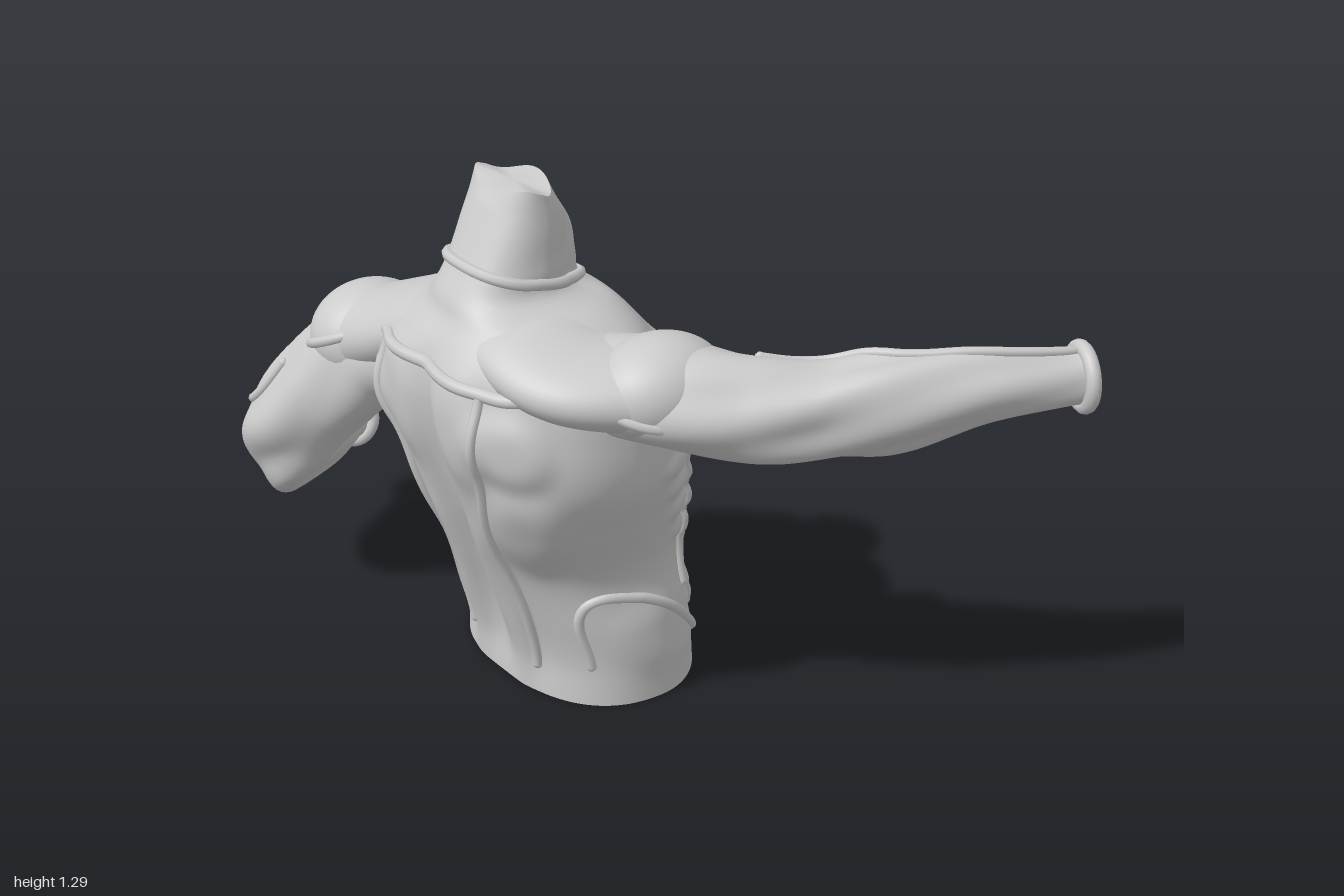
import * as THREE from 'three';

const material = new THREE.MeshStandardMaterial({ color: 0xcccccc });
const V = (x, y, z) => new THREE.Vector3(x, y, z);
const RAD = Math.PI / 180;

// Closed-ring surface surf(angle in degrees, v in 0..1), with flat end caps
function loft(surf, around, along) {
  const pos = [], index = [];
  const push = p => pos.push(p.x, p.y, p.z) / 3 - 1;
  for (let j = 0; j <= along; j++)
    for (let i = 0; i < around; i++) push(surf((360 * i) / around, j / along));
  for (let j = 0; j < along; j++)
    for (let i = 0; i < around; i++) {
      const n = (i + 1) % around, a = j * around + i, b = j * around + n;
      index.push(a, a + around, b, b, a + around, b + around);
    }
  for (const v of [0, 1]) {
    const ring = Array.from({ length: around }, (_, i) => surf((360 * i) / around, v));
    const mid = push(ring.reduce((s, p) => s.add(p), V(0, 0, 0)).divideScalar(around));
    const first = mid + 1;
    ring.forEach((_, i) => push(surf((360 * i) / around, v)));
    for (let i = 0; i < around; i++) {
      const a = first + i, b = first + (i + 1) % around;
      v ? index.push(mid, b, a) : index.push(mid, a, b);
    }
  }
  const g = new THREE.BufferGeometry();
  g.setAttribute('position', new THREE.Float32BufferAttribute(pos, 3));
  g.setIndex(index);
  g.computeVertexNormals();
  return g;
}

// Torso and neck sections: y, xMin, xMax, zMin (chest side), zMax (back side)
const SECTIONS = [
  [0, -.35, .29, -.145, .33], [.1, -.345, .29, -.135, .33], [.2, -.335, .285, -.115, .355],
  [.35, -.29, .275, -.105, .41], [.5, -.315, .325, -.1, .48], [.65, -.355, .385, -.07, .53],
  [.8, -.375, .39, -.03, .55], [.9, -.36, .37, .01, .545], [.95, -.29, .33, .04, .525],
  [1, -.21, .24, .09, .49], [1.04, -.155, .14, .155, .475], [1.1, -.14, .12, .17, .44],
  [1.2, -.14, .11, .18, .39], [1.28, -.13, .1, .22, .35],
];
const slope = (i, k) => {
  const a = SECTIONS[Math.max(i - 1, 0)], b = SECTIONS[Math.min(i + 1, SECTIONS.length - 1)];
  return (b[k] - a[k]) / (b[0] - a[0]);
};
function section(y) {
  let i = 0;
  while (i < SECTIONS.length - 2 && y > SECTIONS[i + 1][0]) i++;
  const A = SECTIONS[i], B = SECTIONS[i + 1], h = B[0] - A[0], t = (y - A[0]) / h;
  return [1, 2, 3, 4].map(k =>
    A[k] * (1 + 2 * t) * (1 - t) ** 2 + B[k] * t * t * (3 - 2 * t) +
    h * (slope(i, k) * t * (1 - t) ** 2 + slope(i + 1, k) * t * t * (t - 1)));
}

// Mirrored muscle relief: angle (-90 chest, 0 side, 90 back), y, angle size, y size, height
const MUSCLES = [
  ...[.17, .31, .42, .53].map(y => [-75, y, 14, .053, .033]),            // abdominals
  [-90, .35, 3, .25, -.014],                                             // belly midline
  [-66, .78, 22, .12, .045], [-72, .64, 14, .045, .02],                  // chest
  [-90, .78, 5, .16, -.015],                                             // breastbone groove
  ...[.64, .56, .48, .4].map((y, i) => [-32 - i * 4, y, 14, .028, .011]), // ribs
  [20, .6, 26, .2, .012], [50, .52, 20, .13, .02],                       // side of back
  [52, .76, 18, .09, .025], [76, .78, 13, .15, .022],                    // shoulder blades
  [77, .27, 10, .22, .022], [-15, .17, 35, .1, .01],                     // lower back, flank
  [90, .5, 6, .36, -.025],                                               // spine groove
  [-68, 1.1, 14, .1, .02],                                               // neck tendons
];
function torso(deg, y) {
  const [x0, x1, z0, z1] = section(y);
  const c = Math.cos(deg * RAD), s = Math.sin(deg * RAD);
  const power = s < 0 ? 1 : .84; // the chest side tapers more than the back
  const bend = q => Math.sign(q) * Math.abs(q) ** power;
  const folded = Math.atan2(s, Math.abs(c)) / RAD;
  let d = 0;
  for (const [a, my, sa, sy, h] of MUSCLES)
    d += h * Math.exp(-((((folded - a) / sa) ** 2 + ((y - my) / sy) ** 2) ** 2));
  const ragged = y > 1.24 ? (y - 1.24) * .3 * Math.sin(deg * RAD * 3) : 0;
  return V((x0 + x1) / 2 + (x1 - x0) / 2 * bend(c) + d * c, y + ragged,
    (z0 + z1) / 2 + (z1 - z0) / 2 * bend(s) + d * s);
}

// Limb surface from rows of x, y, z, horizontal radius, vertical radius; angle 0 is up
function limb(rows, relief) {
  const path = new THREE.CatmullRomCurve3(rows.map(r => V(r[0], r[1], r[2])), false, 'catmullrom');
  const radii = new THREE.CatmullRomCurve3(rows.map(r => V(r[3], r[4], 0)), false, 'catmullrom');
  return (deg, v) => {
    const t = path.getTangent(v), r = radii.getPoint(v), a = deg * RAD;
    const side = V(0, 1, 0).cross(t).normalize(), up = t.clone().cross(side);
    const fade = relief * Math.sin(Math.PI * v);
    const k = 1 + fade * (.06 * Math.sin(3 * a + 9 * v) + .055 * Math.sin(5 * a - 14 * v));
    return path.getPoint(v).addScaledVector(up, r.y * k * Math.cos(a))
      .addScaledVector(side, r.x * k * Math.sin(a));
  };
}

// Ellipsoid surface, angle around the vertical and v from bottom to top
const ellipsoid = (c, r) => (deg, v) => {
  const p = (v - .5) * Math.PI * .998, a = deg * RAD;
  return V(c[0] + r[0] * Math.cos(p) * Math.cos(a), c[1] + r[1] * Math.sin(p),
    c[2] + r[2] * Math.cos(p) * Math.sin(a));
};

export function createModel() {
  const model = new THREE.Group();
  const add = (name, geometry, parent = model) => {
    const mesh = new THREE.Mesh(geometry, material);
    mesh.name = name;
    parent.add(mesh);
    return mesh;
  };
  // Raised cord lying on a surface, with rounded ends
  const cord = (name, surf, points, r = .013) => {
    const flat = new THREE.CatmullRomCurve3(points.map(p => V(p[0], p[1] * 150, 0)));
    const n = 40;
    const pts = Array.from({ length: n + 1 }, (_, i) => {
      const p = flat.getPoint(i / n);
      return surf(p.x, p.y / 150);
    });
    add(name, new THREE.TubeGeometry(new THREE.CatmullRomCurve3(pts), 80, r, 8));
    for (const p of [pts[0], pts[n]])
      add(name + 'End', new THREE.SphereGeometry(r, 8, 6)).position.copy(p);
  };
  const ringCord = (name, surf, height, r) => {
    const pts = Array.from({ length: 32 }, (_, i) => surf(i * 11.25, height(i * 11.25 * RAD)));
    add(name, new THREE.TubeGeometry(new THREE.CatmullRomCurve3(pts, true), 96, r, 8, true));
  };

  add('torso', loft((a, v) => torso(a, v * 1.28), 144, 140));

  // Cords mirrored on both sides of the torso
  const paths = {
    backCord: [[63, .88], [66, .75], [69, .5], [67, .25], [69, .08]],
    hipCord: [[37, .11], [37, .23], [30, .28], [18, .3], [0, .28], [-18, .23], [-42, .11]],
    sideCord: [[-46, .63], [-47, .5], [-45, .35], [-41, .24]],
    bellyCord: [[-58, .6], [-57, .4], [-57, .25], [-62, .12]],
    chestCord: [[-20, .86], [-40, .76], [-58, .68], [-75, .65], [-87, .69]],
  };
  for (const [name, pts] of Object.entries(paths)) {
    cord(name + 'Left', torso, pts);
    cord(name + 'Right', torso, pts.map(([a, y]) => [180 - a, y]));
  }
  cord('yokeCord', torso, [[32, .91], [50, .89], [90, .9], [130, .885], [150, .84]], .016);
  ringCord('neckCord', torso, a => 1.075 + .035 * Math.sin(a), .014);

  // Arms: limb, shoulder cap, trapezius from the neck, cords and wrist ring
  const arms = {
    left: {
      rows: [[.28, .88, .25, .13, .11], [.42, .88, .16, .14, .12], [.535, .86, .03, .135, .115],
        [.63, .855, -.1, .115, .11], [.735, .875, -.23, .088, .115], [.825, .9, -.41, .07, .088],
        [.9, .9, -.58, .056, .065], [.915, .9, -.62, .058, .066]],
      shoulder: [[.405, .9, .18], [.135, .12, .165]],
      trapezius: [[.04, .97, .33, .13, .06], [.16, .94, .33, .18, .085], [.28, .905, .29, .19, .09],
        [.42, .89, .18, .13, .09]],
      inward: -1, ringRadius: .068,
    },
    right: {
      rows: [[-.26, .78, .37, .13, .12], [-.41, .74, .42, .135, .135], [-.53, .61, .5, .125, .13],
        [-.63, .48, .55, .108, .125], [-.71, .395, .505, .1, .122], [-.8, .34, .375, .08, .1],
        [-.9, .295, .245, .056, .06], [-.925, .28, .21, .056, .058]],
      shoulder: [[-.445, .775, .415], [.135, .125, .155]],
      trapezius: [[-.04, .97, .33, .13, .06], [-.16, .92, .34, .17, .085], [-.29, .85, .37, .17, .095],
        [-.46, .77, .43, .13, .1]],
      inward: 1, ringRadius: .06,
    },
  };
  for (const [side, { rows, shoulder, trapezius, inward, ringRadius }] of Object.entries(arms)) {
    const surf = limb(rows, 1), cap = ellipsoid(...shoulder);
    add(side + 'Arm', loft(surf, 64, 100));
    add(side + 'Shoulder', loft(cap, 48, 32));
    add(side + 'Trapezius', loft(limb(trapezius, 0), 48, 40));
    ringCord(side + 'ShoulderCord', cap, a => .52 + .16 * inward * Math.cos(a), .013);
    cord(side + 'ArmCord', surf, [[20, .3], [35, .45], [15, .6], [-10, .75], [5, .9]], .012);

    // Wrist ring facing along the forearm, with a small stump in the middle
    const end = V(...rows.at(-1).slice(0, 3)), prev = V(...rows.at(-2).slice(0, 3));
    const wrist = new THREE.Group();
    wrist.name = side + 'Wrist';
    wrist.position.copy(end);
    wrist.quaternion.setFromUnitVectors(V(0, 0, 1), end.clone().sub(prev).normalize());
    add('wristRing', new THREE.TorusGeometry(ringRadius, .018, 12, 36), wrist);
    add('wristStump', new THREE.SphereGeometry(.03, 16, 10), wrist);
    model.add(wrist);
  }
  return model;
}
